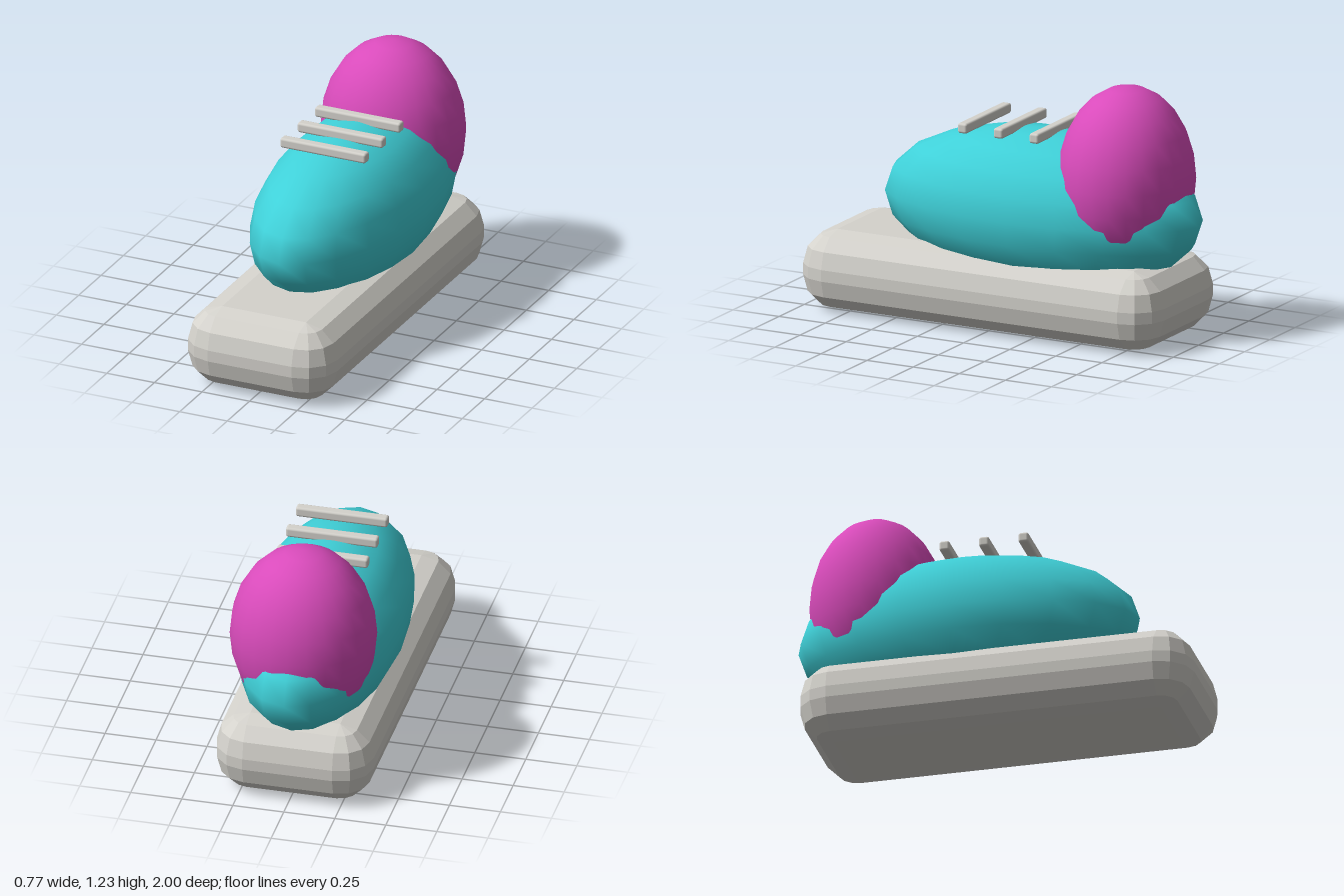
import * as THREE from 'three';
import { ConvexGeometry } from 'three/addons/geometries/ConvexGeometry.js';
import { RoundedBoxGeometry } from 'three/addons/geometries/RoundedBoxGeometry.js';

const mat = (name, color) => {
  const m = new THREE.MeshStandardMaterial({ color });
  m.name = name;
  return m;
};

// Faceted block: eight sphere octants, one per corner, wrapped in a hull
function bevelledBlock(w, h, d, r, steps) {
  const points = [];
  for (const sx of [-1, 1]) for (const sy of [-1, 1]) for (const sz of [-1, 1]) {
    for (let i = 0; i <= steps; i++) {
      const lat = (i / steps) * Math.PI / 2;
      const count = i === steps ? 0 : steps;
      for (let j = 0; j <= count; j++) {
        const lon = (j / steps) * Math.PI / 2;
        points.push(new THREE.Vector3(
          sx * (w / 2 - r + r * Math.cos(lat) * Math.cos(lon)),
          sy * (h / 2 - r + r * Math.sin(lat)),
          sz * (d / 2 - r + r * Math.cos(lat) * Math.sin(lon))));
      }
    }
  }
  return new ConvexGeometry(points);
}

function ellipsoid(rx, ry, rz, segments) {
  return new THREE.SphereGeometry(1, segments, segments / 2).scale(rx, ry, rz);
}

export function createModel() {
  const group = new THREE.Group();
  group.name = 'shoe';
  const offWhite = mat('off white', 0xd4d2cc);
  const teal = mat('teal', 0x3fd0d8);
  const magenta = mat('magenta', 0xd94bbb);

  const add = (name, geometry, material, x, y, z) => {
    const mesh = new THREE.Mesh(geometry, material);
    mesh.name = name;
    mesh.position.set(x, y, z);
    group.add(mesh);
  };

  // Thick rounded sole
  add('sole', bevelledBlock(0.77, 0.387, 1.935, 0.165, 3), offWhite, 0, 0.1935, 0.0325);

  // Shoe body and heel
  add('upper', ellipsoid(0.385, 0.385, 0.838, 20), teal, 0, 0.582, -0.162);
  add('heel', ellipsoid(0.353, 0.455, 0.325, 24), magenta, 0, 0.771, -0.61);

  // Three lace bars across the top
  const lace = new RoundedBoxGeometry(0.45, 0.05, 0.05, 2, 0.012);
  [0.16, -0.034, -0.228].forEach((z, i) => add('lace' + (i + 1), lace, offWhite, 0, 0.969, z));

  return group;
}
